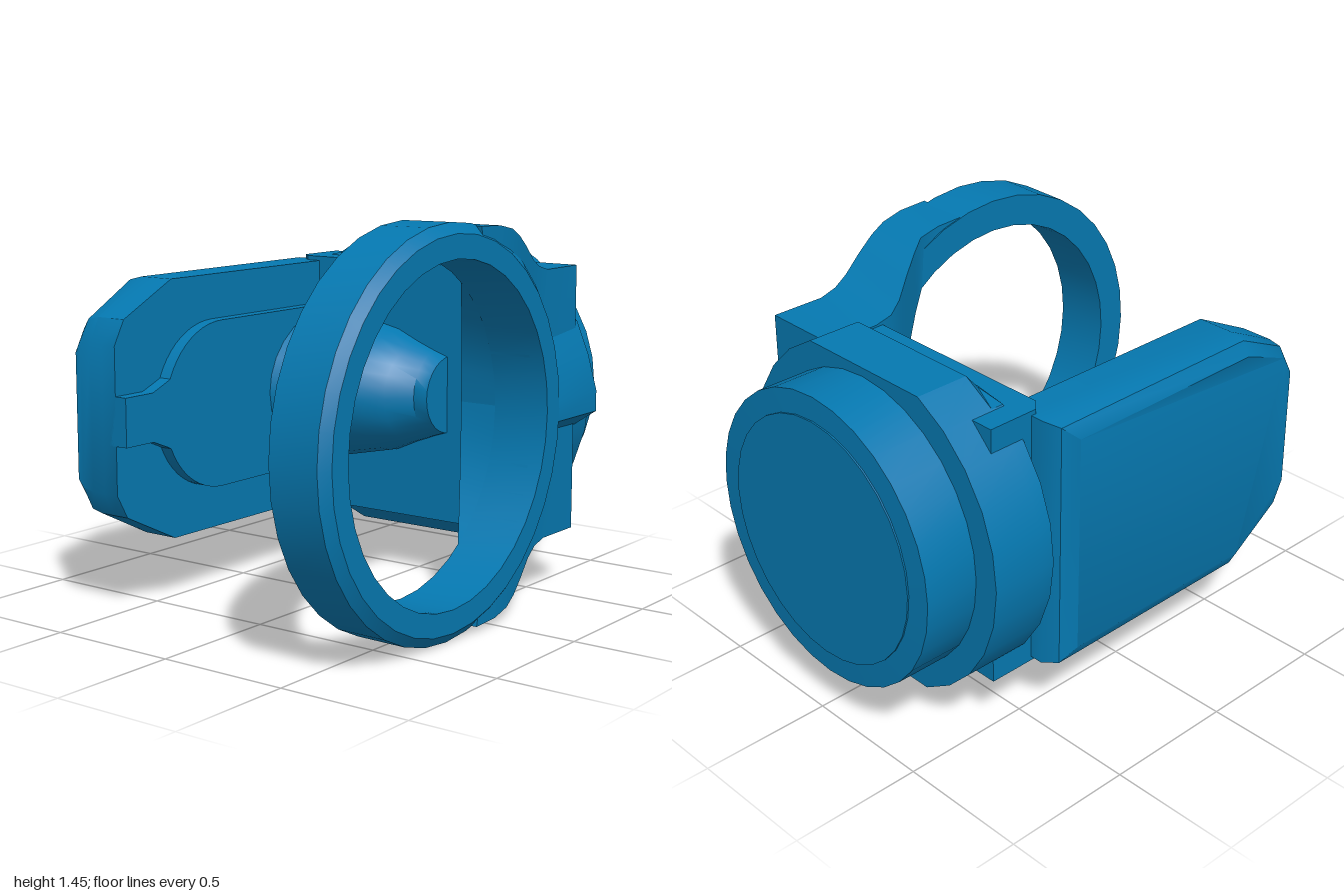
import * as THREE from 'three';
import { toCreasedNormals } from 'three/addons/utils/BufferGeometryUtils.js';

const MID = 0.727; // height of the horizontal mirror plane
const AXIS_Z = -0.045; // depth of the collar axis
const RING_X = -0.275;
const material = new THREE.MeshStandardMaterial({ color: 0x0578b0, side: THREE.DoubleSide });

// Move every vertex by a rule
function reshape(geometry, rule) {
  const p = geometry.attributes.position;
  const v = new THREE.Vector3();
  for (let i = 0; i < p.count; i++) {
    v.fromBufferAttribute(p, i);
    rule(v);
    p.setXYZ(i, v.x, v.y, v.z);
  }
  return geometry;
}

function addPart(group, name, geometry, crease = 0.55) {
  const mesh = new THREE.Mesh(toCreasedNormals(geometry, crease), material);
  mesh.name = name;
  group.add(mesh);
}

const toVectors = (pairs) => pairs.map(([x, y]) => new THREE.Vector2(x, y));

// Complete an upper outline (x, height above mirror plane) with its mirror image
function mirroredShape(upper) {
  const lower = upper.map(([x, y]) => [x, -y]).reverse();
  return new THREE.Shape(toVectors([...upper, ...lower].map(([x, y]) => [x, y + MID])));
}

function extrude(shape, depth, steps = 1) {
  return new THREE.ExtrudeGeometry(shape, { depth, steps, bevelEnabled: false });
}

export function createModel() {
  const model = new THREE.Group();
  const { lerp, smoothstep, clamp } = THREE.MathUtils;

  // Large front bearing ring
  const ring = new THREE.LatheGeometry(toVectors([
    [0.605, 0.455], [0.725, 0.455], [0.727, 0.65], [0.69, 0.68], [0.605, 0.68], [0.605, 0.455],
  ]), 36);
  ring.rotateX(Math.PI / 2).translate(RING_X, MID, 0);
  addPart(model, 'frontRing', ring);

  // Two flared halves joining the ring to the bracket, as columns running
  // from an inner point [angle on the ring, or x] to an outer point [x, y]
  const columns = [
    { angle: 1.27, outer: [-0.12, 0.705] },
    { angle: 1.1, outer: [0.0, 0.7] },
    { angle: 0.93, outer: [0.09, 0.683] },
    { angle: 0.76, outer: [0.16, 0.655] },
    { angle: 0.58, outer: [0.24, 0.61] },
    { angle: 0.4, outer: [0.32, 0.555] },
    { angle: 0.2, outer: [0.38, 0.525] },
    { angle: 0, outer: [0.45, 0.508] },
    { x: 0.66, outer: [0.66, 0.508] },
  ];
  const spans = columns.length - 1;
  for (const side of [1, -1]) {
    const half = reshape(new THREE.BoxGeometry(1, 1, 1, spans, 1, 1), (v) => {
      const { angle, x, outer } = columns[Math.round((v.x + 0.5) * spans)];
      const inner = x ? [x, 0] : [RING_X + 0.607 * Math.cos(angle), 0.607 * Math.sin(angle)];
      const [px, py] = v.y * side > 0 ? outer : inner;
      const back = lerp(0.46, 0.285, clamp((px - 0.08) / 0.28, 0, 1));
      const front = lerp(0.675, 0.6, smoothstep(px, 0, 0.45));
      v.set(px, MID + side * py, v.z > 0 ? front : back);
    });
    addPart(model, side > 0 ? 'frontArmUpper' : 'frontArmLower', half);
  }

  // Raised wedge rib in the middle of the front arm
  const ribShape = new THREE.Shape(toVectors([
    [-0.45, 0.62], [-0.45, 1.02], [-0.59, 1.02], [-0.64, 0.9], [-0.68, 0.76], [-0.68, 0.68], [-0.59, 0.62],
  ]));
  const rib = extrude(ribShape, 0.3).rotateY(Math.PI / 2).translate(0.39, 0, 0);
  addPart(model, 'frontRib', rib);

  // Bracket web between the two arms
  const webShape = new THREE.Shape(toVectors([
    [0.42, -0.3], [0.66, -0.3], [0.66, 0.54], [0.46, 0.54], [0.42, 0.5],
  ]));
  const web = extrude(webShape, 1.0).rotateX(-Math.PI / 2).translate(0, MID - 0.5, 0);
  addPart(model, 'bracketWeb', web, 0.3);

  // Rear arm: plate with rounded back edges and a thinner free end
  const plateShape = mirroredShape([[-0.76, 0.27], [-0.71, 0.36], [-0.46, 0.483], [0.48, 0.483]]);
  const plate = reshape(extrude(plateShape, 0.24, 4), (v) => {
    const level = Math.round(v.z / 0.06);
    const shrink = [0.86, 0.97, 1, 1, 1][level];
    const freeEnd = clamp((-0.4 - v.x) / 0.36, 0, 1);
    v.z = lerp([-0.68, -0.65, -0.59, -0.52, -0.44][level], -0.44, freeEnd * 0.2);
    v.y = MID + (v.y - MID) * shrink;
    if (v.x > 0) v.x -= [0.09, 0.03, 0, 0, 0][level];
  });
  addPart(model, 'rearPlate', plate, 0.6);

  // Raised pad on the inner face, round at the free end with a flared tab
  const padEdge = [[-0.76, 0.09], [-0.62, 0.09], [-0.545, 0.12]];
  for (let i = 0; i <= 10; i++) {
    const a = lerp(Math.PI - 0.42, Math.PI / 2, i / 10);
    padEdge.push([-0.24 + 0.315 * Math.cos(a), 0.315 * Math.sin(a)]);
  }
  padEdge.push([0.43, 0.315]);
  const pad = extrude(mirroredShape(padEdge), 0.08).translate(0, 0, -0.47);
  addPart(model, 'rearPad', pad, 0.4);

  // Tapering boss inside the fork: [z, leftmost x, half height]
  const sections = [
    [0.18, 0.28, 0.15], [0.12, 0.28, 0.17], [0.04, 0.2, 0.2], [-0.05, 0.12, 0.24],
    [-0.28, 0.1, 0.29], [-0.39, 0.04, 0.31], [-0.48, 0.02, 0.31],
  ];
  const rows = sections.length - 1;
  const boss = reshape(new THREE.CylinderGeometry(1, 1, 1, 28, rows), (v) => {
    const [z, left, half] = sections[Math.round((0.5 - v.y) * rows)];
    v.set(0.44 + Math.min(v.x, 0.3) * (0.44 - left), MID - v.z * half, z);
  });
  addPart(model, 'innerBoss', boss, 0.7);

  // Collar with flats on top and bottom, chamfered toward the bracket
  const collar = new THREE.LatheGeometry(toVectors([
    [0, 0.5], [0.6, 0.5], [0.645, 0.52], [0.645, 0.57], [0.645, 0.78], [0, 0.78],
  ]), 28);
  collar.rotateZ(-Math.PI / 2);
  reshape(collar, (v) => {
    const limit = lerp(0.51, 0.58, clamp((v.x - 0.51) / 0.06, 0, 1));
    v.y = clamp(v.y, -limit, limit);
  });
  collar.translate(0, MID, AXIS_Z);
  addPart(model, 'collar', collar, 0.4);

  // Round end cap with a slightly raised face disc
  const cap = new THREE.LatheGeometry(toVectors([
    [0.548, 0.775], [0.548, 0.99], [0.46, 0.994], [0.46, 1.0], [0, 1.0],
  ]), 32);
  cap.rotateZ(-Math.PI / 2).translate(0, MID, AXIS_Z);
  addPart(model, 'endCap', cap);

  return model;
}
